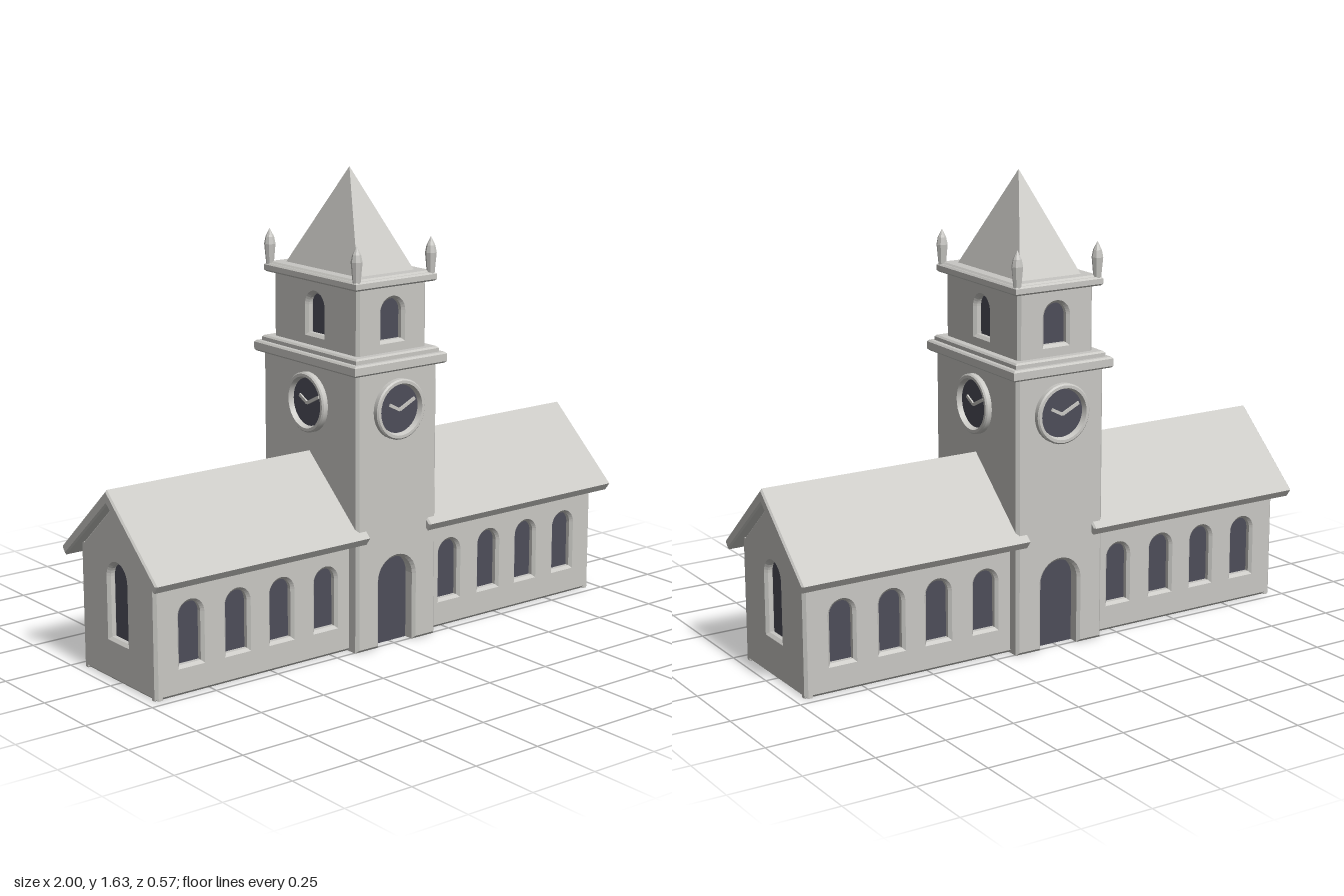
import * as THREE from 'three';
import { toCreasedNormals } from 'three/addons/utils/BufferGeometryUtils.js';

const stone = new THREE.MeshStandardMaterial({ color: 0xc8c7c3 });
stone.name = 'stone';
const glass = new THREE.MeshStandardMaterial({ color: 0x4d4d59 });
glass.name = 'dark glass';

const BEVEL = 0.01;

function mesh(name, geometry, material = stone) {
  const m = new THREE.Mesh(geometry, material);
  m.name = name;
  return m;
}

const polygon = (pts) => new THREE.Shape(pts.map(([x, y]) => new THREE.Vector2(x, y)));
const rect = (x0, x1, y0, y1) => polygon([[x0, y0], [x1, y0], [x1, y1], [x0, y1]]);

// Round-headed opening
function arch(x, hw, y0, y1, Type = THREE.Shape) {
  const s = new Type();
  s.moveTo(x - hw, y0);
  s.lineTo(x + hw, y0);
  s.lineTo(x + hw, y1 - hw);
  s.absarc(x, y1 - hw, hw, 0, Math.PI, false);
  s.closePath();
  return s;
}

// Chamfered extrusion whose front face lies at z = 0
function slabGeometry(shape, depth, bevel = BEVEL) {
  return new THREE.ExtrudeGeometry(shape, {
    depth: depth - 2 * bevel, bevelThickness: bevel, bevelSize: bevel,
    bevelOffset: -bevel, bevelSegments: 1, curveSegments: 8,
  }).translate(0, 0, bevel - depth);
}

// Wall with arched windows, each with a pane at the back of its recess
function wall(name, shape, depth, windows) {
  const g = new THREE.Group();
  g.name = name;
  for (const w of windows) shape.holes.push(arch(...w, THREE.Path));
  g.add(mesh('wallPanel', slabGeometry(shape, depth)));
  for (const [x, hw, y0, y1] of windows) {
    const pane = new THREE.ShapeGeometry(arch(x, hw + BEVEL, y0 - BEVEL, y1 + BEVEL), 8);
    g.add(mesh('windowPane', pane.translate(0, 0, 0.006 - depth), glass));
  }
  return g;
}

// Put a part on one side of the building, facing outward
function face(part, side, hx, hz, y = 0) {
  const a = side * Math.PI / 2;
  part.rotation.y = a;
  part.position.set(Math.sin(a) * hx, y, Math.cos(a) * hz);
  return part;
}

function box(name, hx, hz, y0, y1) {
  return mesh(name, new THREE.BoxGeometry(2 * hx, y1 - y0, 2 * hz).translate(0, (y0 + y1) / 2, 0));
}

// Horizontal chamfered ledge
function ledge(name, hx, hz, y0, y1) {
  const g = slabGeometry(rect(-hx, hx, -hz, hz), y1 - y0, 0.006);
  return mesh(name, g.rotateX(-Math.PI / 2).translate(0, y1, 0));
}

function clock() {
  const g = new THREE.Group();
  g.name = 'clock';
  const profile = [[0.105, -0.01], [0.105, 0.017], [0.1, 0.022], [0.09, 0.022], [0.083, 0.002]]
    .map(([r, y]) => new THREE.Vector2(r, y));
  const rim = toCreasedNormals(new THREE.LatheGeometry(profile, 32), 0.5);
  g.add(mesh('clockRim', rim.rotateX(Math.PI / 2)));
  g.add(mesh('clockFace', new THREE.CircleGeometry(0.086, 32).translate(0, 0, 0.004), glass));
  for (const [x, y] of [[-0.042, 0.022], [0.066, 0.032]]) {
    const len = Math.hypot(x, y);
    const hand = mesh('clockHand', new THREE.BoxGeometry(len, 0.011, 0.006).translate(len / 2, 0, 0));
    hand.rotation.z = Math.atan2(y, x);
    hand.position.set(0, -0.003, 0.009);
    g.add(hand);
  }
  return g;
}

function wings() {
  const g = new THREE.Group();
  g.name = 'wings';
  // Inner body behind the window recesses
  const core = polygon([[-0.185, 0], [0.185, 0], [0.185, 0.45], [0, 0.6], [-0.185, 0.45]]);
  g.add(mesh('wingBody', new THREE.ExtrudeGeometry(core, { depth: 1.86, bevelEnabled: false })
    .translate(0, 0, -0.93).rotateY(Math.PI / 2)));
  // Long walls, front and back
  const row = [];
  for (const x of [0.275, 0.46, 0.64, 0.825]) {
    for (const s of [-1, 1]) row.push([s * x, 0.043, 0.102, 0.313]);
  }
  for (const side of [0, 2]) {
    g.add(face(wall('longWall', rect(-0.965, 0.965, 0, 0.44), 0.035, row), side, 0, 0.22));
  }
  for (const side of [1, 3]) {
    // Gable end
    const gable = polygon([[-0.22, 0], [0.22, 0], [0.22, 0.43], [0, 0.625], [-0.22, 0.43]]);
    g.add(face(wall('gableWall', gable, 0.035, [[0, 0.053, 0.147, 0.408]]), side, 0.965, 0));
    // Overhanging pitched roof
    const roof = polygon([[0, 0.668], [-0.287, 0.412], [-0.267, 0.385], [0, 0.617], [0.267, 0.385], [0.287, 0.412]]);
    g.add(face(mesh('roof', slabGeometry(roof, 0.87, 0.006)), side, 1, 0));
  }
  return g;
}

function tower() {
  const g = new THREE.Group();
  g.name = 'tower';
  g.add(box('towerBody', 0.175, 0.215, 0, 0.975));
  for (const side of [0, 2]) {
    // Tower front with doorway cut up from the ground
    const hw = 0.075, top = 0.315;
    const s = new THREE.Shape();
    s.moveTo(-0.175, 0);
    s.lineTo(-hw, 0);
    s.lineTo(-hw, top - hw);
    s.absarc(0, top - hw, hw, Math.PI, 0, true);
    s.lineTo(hw, 0);
    s.lineTo(0.175, 0);
    s.lineTo(0.175, 0.985);
    s.lineTo(-0.175, 0.985);
    s.closePath();
    const front = wall('towerFront', s, 0.065, []);
    const door = new THREE.ShapeGeometry(arch(0, hw + BEVEL, 0, top + BEVEL), 8);
    front.add(mesh('door', door.translate(0, 0, -0.044), glass));
    g.add(face(front, side, 0, 0.265));
  }
  for (let side = 0; side < 4; side++) g.add(face(clock(), side, 0.175, 0.265, 0.84));

  // Cornice and belfry
  g.add(ledge('cornice', 0.2, 0.285, 0.975, 1.013));
  g.add(ledge('corniceStep', 0.18, 0.265, 1.005, 1.032));
  g.add(box('belfryBody', 0.115, 0.2, 1.02, 1.27));
  for (let side = 0; side < 4; side++) {
    const hw = side % 2 ? 0.235 : 0.15;
    g.add(face(wall('belfryWall', rect(-hw, hw, 1.015, 1.28), 0.035, [[0, 0.045, 1.072, 1.213]]),
      side, 0.15, 0.235));
  }
  g.add(ledge('belfryCornice', 0.175, 0.257, 1.258, 1.288));
  g.add(ledge('belfryCorniceStep', 0.165, 0.245, 1.28, 1.294));

  // Pyramid spire
  const spire = new THREE.CylinderGeometry(0, Math.SQRT2, 0.343, 4, 1).toNonIndexed();
  spire.rotateY(Math.PI / 4).scale(0.122, 1, 0.2).translate(0, 1.4635, 0);
  spire.computeVertexNormals();
  g.add(mesh('spire', spire));

  // Corner pinnacles
  const profile = [[0.013, 0], [0.02, 0.075], [0.015, 0.1], [0, 0.13]]
    .map(([r, y]) => new THREE.Vector2(r, y));
  for (const x of [-0.16, 0.16]) {
    for (const z of [-0.242, 0.242]) {
      const p = mesh('pinnacle', toCreasedNormals(new THREE.LatheGeometry(profile, 8), 0.1));
      p.position.set(x, 1.28, z);
      g.add(p);
    }
  }
  return g;
}

export function createModel() {
  const model = new THREE.Group();
  model.name = 'clockTowerHall';
  model.add(wings(), tower());
  return model;
}
